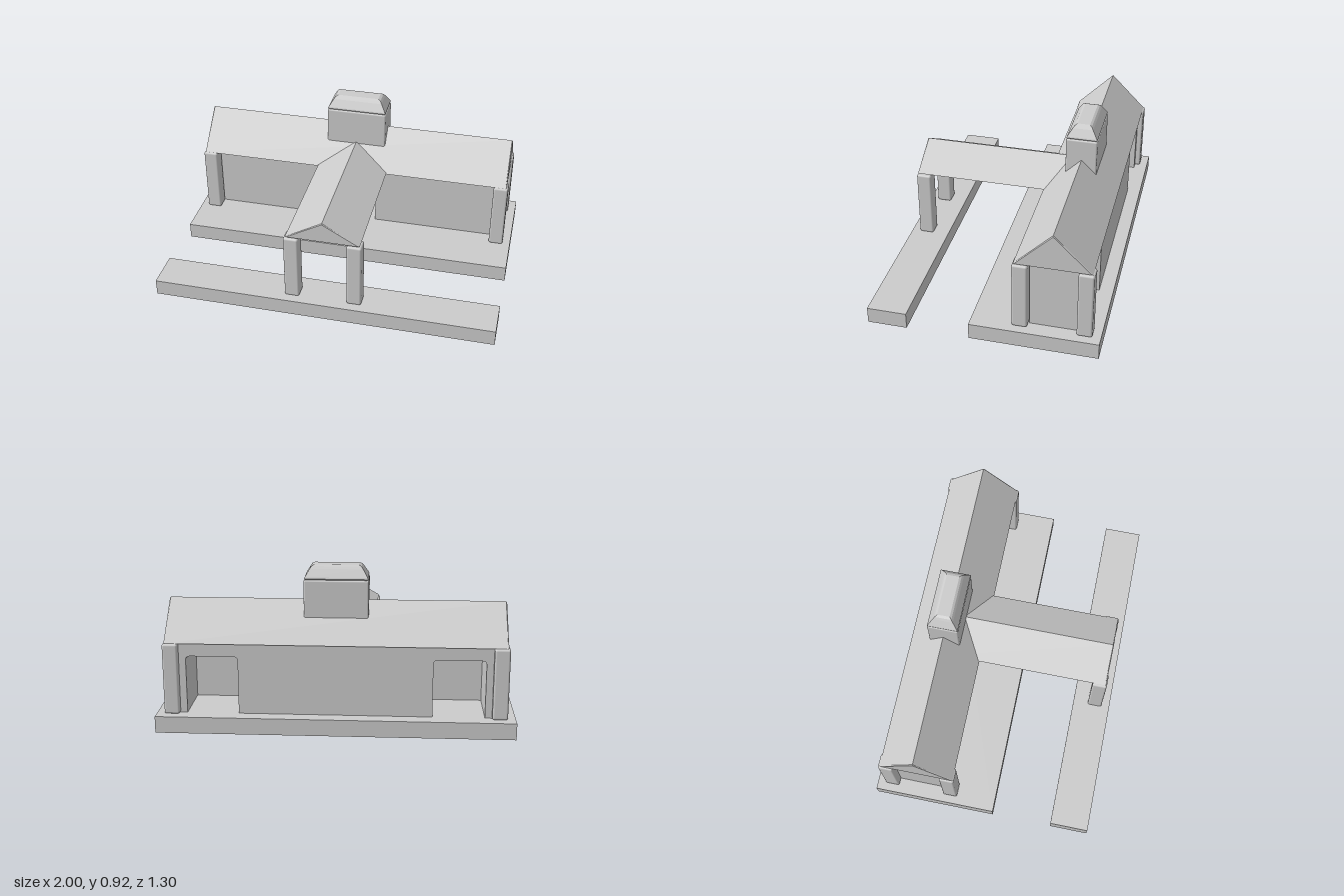
import * as THREE from 'three';
import { RoundedBoxGeometry } from 'three/addons/geometries/RoundedBoxGeometry.js';

const FLOOR = 0.095, EAVE = 0.5;

export function createModel() {
  const model = new THREE.Group();
  const material = new THREE.MeshStandardMaterial({ color: 0xcccccc });

  function add(name, geometry, x = 0, y = 0, z = 0) {
    const mesh = new THREE.Mesh(geometry, material);
    mesh.name = name;
    mesh.position.set(x, y, z);
    model.add(mesh);
    return mesh;
  }

  // Box given by its limits, optionally with softened edges
  function block(name, x0, x1, y0, y1, z0, z1, radius = 0) {
    const size = [x1 - x0, y1 - y0, z1 - z0];
    const geometry = radius
      ? new RoundedBoxGeometry(...size, 3, radius)
      : new THREE.BoxGeometry(...size);
    return add(name, geometry, (x0 + x1) / 2, (y0 + y1) / 2, (z0 + z1) / 2);
  }

  // Upright wall facing z, with round-cornered openings reaching the floor
  function wall(name, halfWidth, z, thickness, openings) {
    const top = 0.425, r = 0.025;
    const shape = new THREE.Shape();
    shape.moveTo(-halfWidth, EAVE);
    shape.lineTo(-halfWidth, FLOOR);
    for (const [a, b] of openings) {
      shape.lineTo(a, FLOOR);
      shape.lineTo(a, top - r);
      shape.quadraticCurveTo(a, top, a + r, top);
      shape.lineTo(b - r, top);
      shape.quadraticCurveTo(b, top, b, top - r);
      shape.lineTo(b, FLOOR);
    }
    shape.lineTo(halfWidth, FLOOR);
    shape.lineTo(halfWidth, EAVE);
    const geometry = new THREE.ExtrudeGeometry(shape, { depth: thickness, bevelEnabled: false, curveSegments: 5 });
    return add(name, geometry, 0, 0, z);
  }

  // Gabled prism running along z, with finely bevelled ends
  function gable(halfWidth, y0, y1, length) {
    const bevel = 0.005;
    const shape = new THREE.Shape([
      new THREE.Vector2(-halfWidth + 2 * bevel, y0 + bevel),
      new THREE.Vector2(halfWidth - 2 * bevel, y0 + bevel),
      new THREE.Vector2(0, y1 - 1.3 * bevel),
    ]);
    return new THREE.ExtrudeGeometry(shape, {
      depth: length - 2 * bevel, bevelSize: bevel, bevelThickness: bevel, bevelSegments: 1,
    }).translate(0, 0, bevel - length / 2);
  }

  // Ground slabs
  block('mainPlatform', -1, 1, 0, FLOOR, -0.65, 0.07);
  block('frontPlatform', -1, 1, 0, FLOOR, 0.425, 0.65);

  // Hollow hall
  wall('frontWall', 0.91, -0.28, 0.03, [[-0.135, 0.135]]);
  wall('backWall', 0.91, -0.57, 0.03, [[-0.83, -0.54], [0.54, 0.83]]);
  for (const side of [-1, 1]) {
    const x = side * 0.87;
    block('endWall', x - 0.04, x + 0.04, FLOOR, EAVE, -0.54, -0.28);
  }

  // Corner pillars of the hall and the pair carrying the porch
  for (const side of [-1, 1]) {
    for (const [name, px, pz] of [
      ['cornerPillar', 0.912, -0.203],
      ['cornerPillar', 0.912, -0.56],
      ['porchPillar', 0.182, 0.558],
    ]) {
      const x = side * px, h = 0.043;
      block(name, x - h, x + h, FLOOR, EAVE, pz - h, pz + h, 0.012);
    }
  }

  // Roofs
  add('mainRoof', gable(0.217, 0.5, 0.715, 1.89), 0, 0, -0.38).rotation.y = Math.PI / 2;
  add('porchRoof', gable(0.217, 0.504, 0.632, 0.97), 0, 0, 0.11);

  // Ridge turret with a hipped cap
  block('turret', -0.18, 0.18, 0.6, 0.84, -0.467, -0.287, 0.01);

  const cap = new THREE.BoxGeometry(2, 1, 2, 1, 5, 1);
  const levels = [ // height, half width, half depth
    [0.84, 0.17, 0.082], [0.847, 0.177, 0.088], [0.855, 0.174, 0.085],
    [0.898, 0.148, 0.058], [0.911, 0.138, 0.048], [0.918, 0.124, 0.036],
  ];
  const p = cap.attributes.position;
  for (let i = 0; i < p.count; i++) {
    const [y, w, d] = levels[Math.round((p.getY(i) + 0.5) * 5)];
    p.setXYZ(i, p.getX(i) * w, y, p.getZ(i) * d);
  }
  const flatCap = cap.toNonIndexed();
  flatCap.computeVertexNormals();
  add('turretCap', flatCap, 0, 0, -0.377);

  return model;
}
